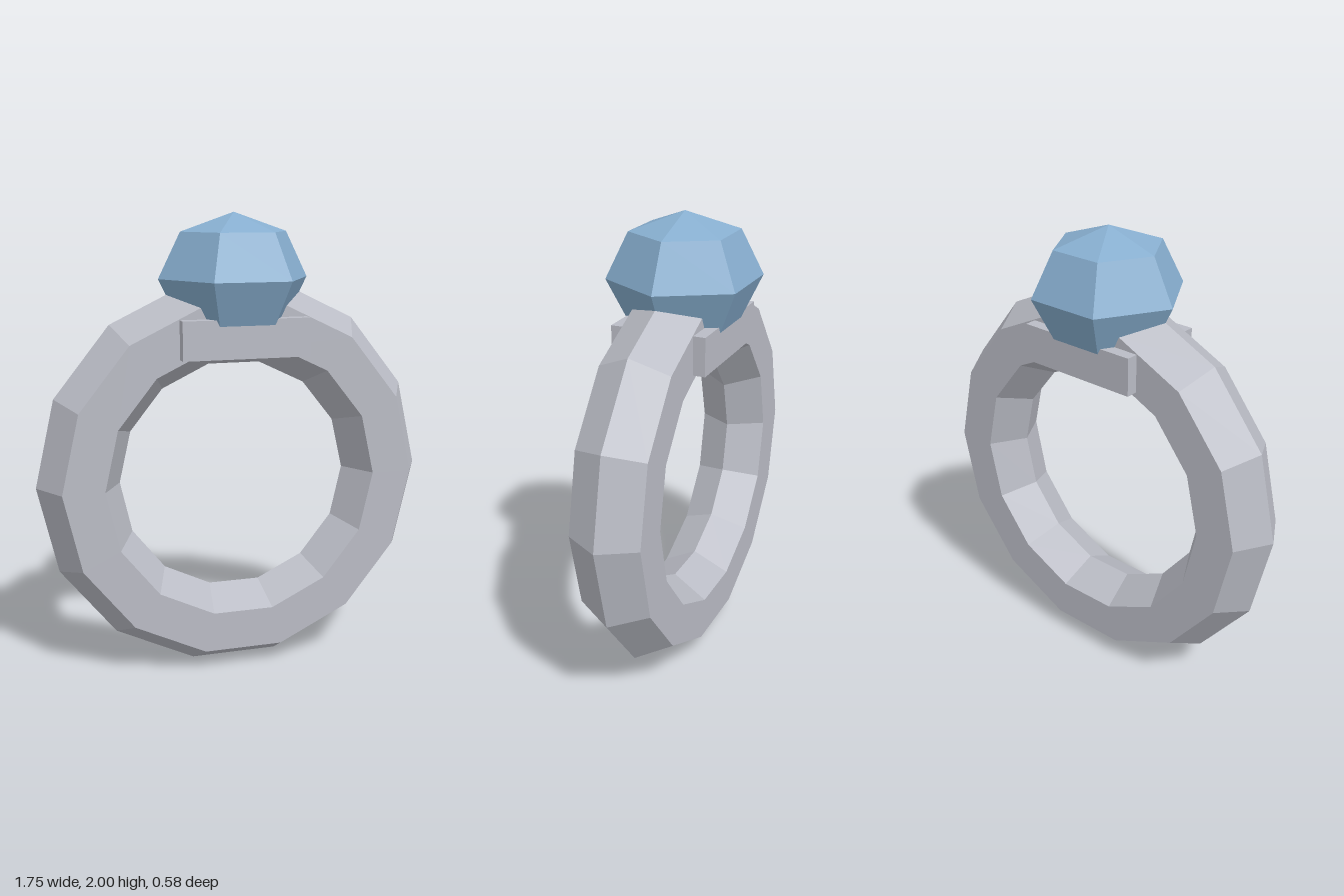
import * as THREE from 'three';

export function createModel() {
  const group = new THREE.Group();
  const silver = new THREE.MeshStandardMaterial({ color: 0xbabcc5, flatShading: true });
  silver.name = 'silver';
  const blueGem = new THREE.MeshStandardMaterial({ color: 0x87aecf, flatShading: true });
  blueGem.name = 'blue gem';

  const add = (name, geometry, material, y) => {
    const mesh = new THREE.Mesh(geometry, material);
    mesh.name = name;
    mesh.position.y = y;
    group.add(mesh);
    return mesh;
  };

  // Band: hexagonal section swept round fourteen sides
  add('band', new THREE.TorusGeometry(0.695, 0.18, 6, 14), silver, 0.855);

  // Setting: block across the top of the band
  add('setting', new THREE.BoxGeometry(0.556, 0.165, 0.416), silver, 1.484);

  // Gem: six-sided faceted stone, slightly flattened
  const gem = add('gem', new THREE.SphereGeometry(0.332, 6, 4), blueGem, 1.724);
  gem.scale.y = 0.276 / 0.332;

  return group;
}
